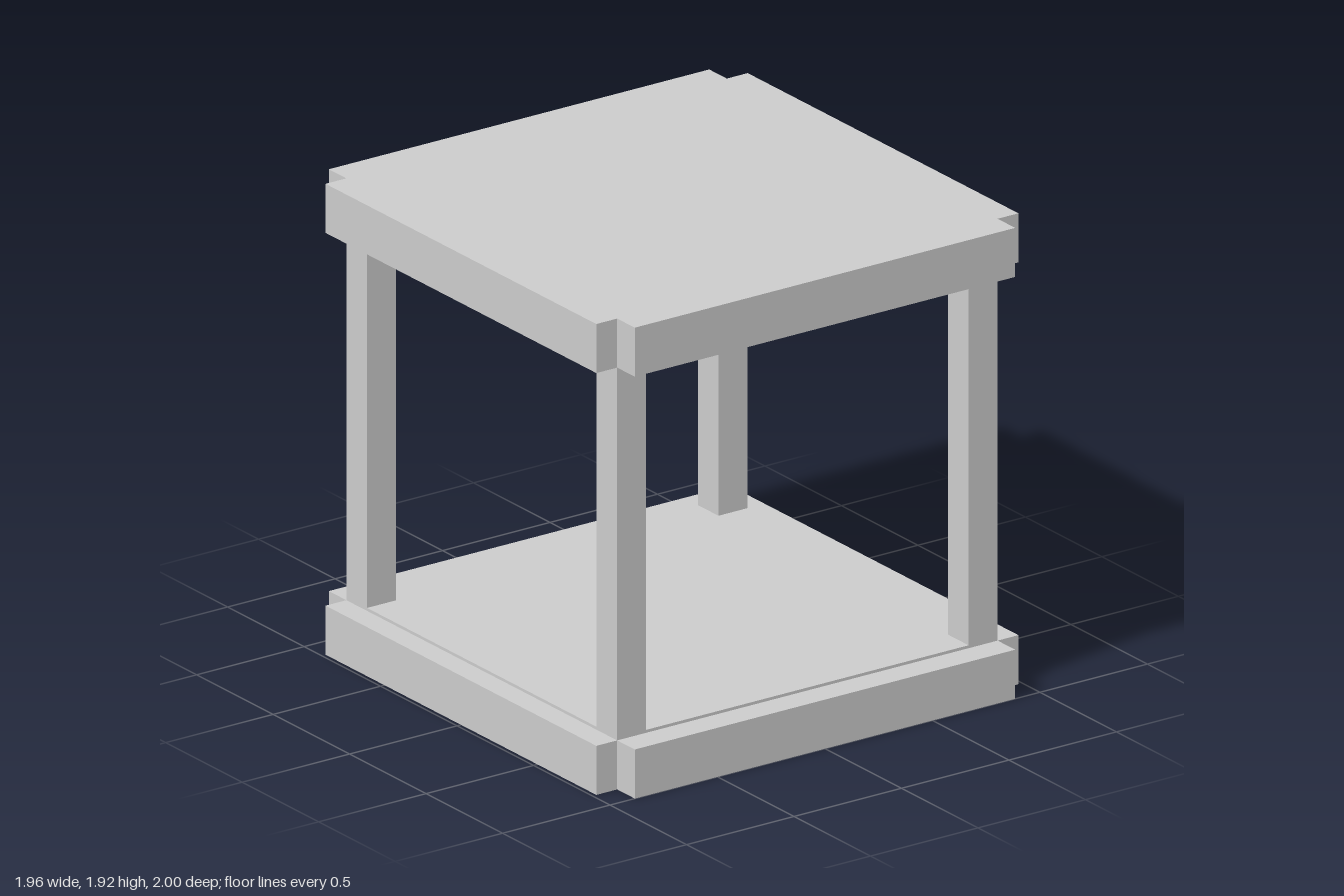
import * as THREE from 'three';

const HALF = 0.885;   // half width of the slabs, outer face of the posts
const HEIGHT = 1.92;
const RAIL = 0.2;     // rail height
const SLAB = 0.212;   // slabs stand just proud of the rails

export function createModel() {
  const group = new THREE.Group();
  const material = new THREE.MeshStandardMaterial({ color: 0xcccccc, flatShading: true });

  // Box given by its lower and upper corners
  const box = (name, [x0, y0, z0], [x1, y1, z1]) => {
    const mesh = new THREE.Mesh(new THREE.BoxGeometry(x1 - x0, y1 - y0, z1 - z0), material);
    mesh.position.set((x0 + x1) / 2, (y0 + y1) / 2, (z0 + z1) / 2);
    mesh.name = name;
    group.add(mesh);
  };

  // Floor and roof slabs
  box('floorSlab', [-HALF, 0, -HALF], [HALF, SLAB, HALF]);
  box('roofSlab', [-HALF, HEIGHT - SLAB, -HALF], [HALF, HEIGHT, HALF]);

  // Rails around both slabs, leaving the corners notched
  for (const [level, y] of [['lower', 0], ['upper', HEIGHT - RAIL]]) {
    const top = y + RAIL;
    box(level + 'FrontRail', [-HALF, y, HALF], [HALF, top, 1]);
    box(level + 'BackRail', [-HALF, y, -1], [HALF, top, -HALF]);
    box(level + 'LeftRail', [HALF, y, -HALF], [0.982, top, HALF]);
    box(level + 'RightRail', [-0.982, y, -HALF], [-HALF, top, HALF]);
  }

  // Corner posts between the slabs
  const inner = 0.75;
  for (const [side, x] of [['Left', inner], ['Right', -HALF]]) {
    for (const [end, z] of [['front', inner], ['back', -HALF]]) {
      const w = HALF - inner;
      box(end + side + 'Post', [x, SLAB, z], [x + w, HEIGHT - SLAB, z + w]);
    }
  }

  // Very shallow round ceiling fitting
  const fitting = new THREE.Mesh(new THREE.ConeGeometry(0.24, 0.005, 32), material);
  fitting.rotation.x = Math.PI;
  fitting.position.y = HEIGHT - SLAB - 0.0025;
  fitting.name = 'ceilingFitting';
  group.add(fitting);

  return group;
}
